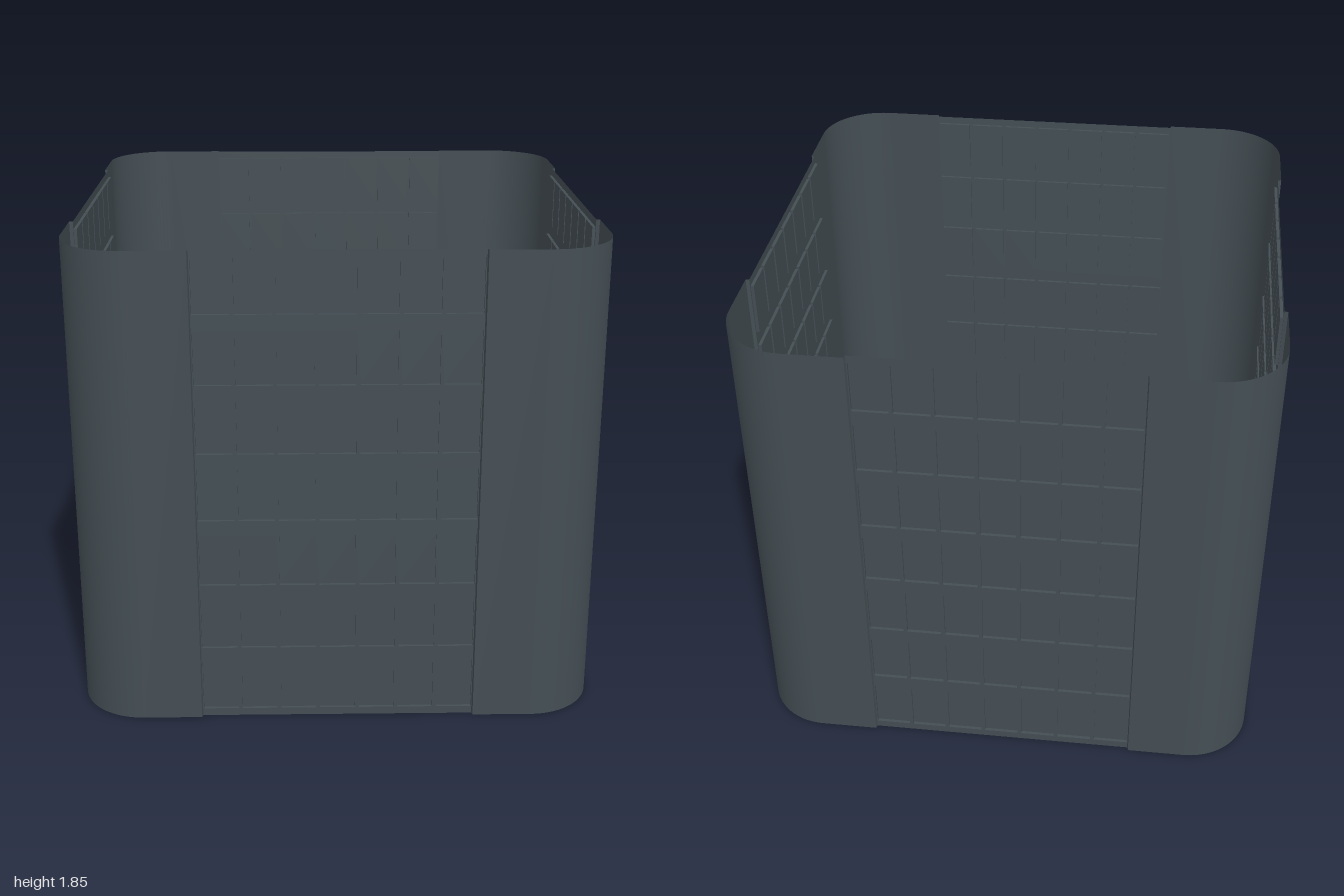
import * as THREE from 'three';
import { mergeGeometries } from 'three/addons/utils/BufferGeometryUtils.js';

const H = 1.85;          // height
const HALF = 0.525;      // half width of a lattice panel
const R = 0.25;          // corner radius
const GRID_Z = 0.986;    // lattice sheet
const CELL_Z = 0.974;    // floor of the pressed-in cells
const N = 7;             // cells per row and rows per panel
const RIB = 0.015, BAR = 0.06;

// Upright quad from (x0, z0) to (x1, z1), between heights y0 and y1
function strip(x0, z0, x1, z1, y0, y1) {
  const g = new THREE.PlaneGeometry(Math.hypot(x1 - x0, z1 - z0), y1 - y0);
  g.rotateY(Math.atan2(z0 - z1, x1 - x0));
  return g.translate((x0 + x1) / 2, (y0 + y1) / 2, (z0 + z1) / 2);
}

// Level quad between the lattice sheet and a cell floor, facing up or down
function ledge(x0, x1, y, up) {
  const g = new THREE.PlaneGeometry(x1 - x0, GRID_Z - CELL_Z);
  g.rotateX(up ? -Math.PI / 2 : Math.PI / 2);
  return g.translate((x0 + x1) / 2, y, (GRID_Z + CELL_Z) / 2);
}

// Rounded corner: quarter cylinder, two flat wings and a small lip on each wing
function cornerGeometry() {
  const arc = new THREE.CylinderGeometry(R, R, H, 24, 1, true, 0, Math.PI / 2);
  arc.translate(1 - R, H / 2, 1 - R);
  const lip = HALF - 0.004;
  return mergeGeometries([
    arc,
    strip(HALF, 1, 1 - R, 1, 0, H),
    strip(1, 1 - R, 1, HALF, 0, H),
    strip(lip, GRID_Z, HALF, 1, 0, H),
    strip(1, HALF, GRID_Z, lip, 0, H),
  ]);
}

// Lattice sheet with holes, and the pressed-in cells that close them
function panelGeometries() {
  const sheet = new THREE.Shape([
    new THREE.Vector2(-HALF, 0), new THREE.Vector2(HALF, 0),
    new THREE.Vector2(HALF, H), new THREE.Vector2(-HALF, H),
  ]);
  const cells = [];
  const px = 2 * HALF / N, py = H / N;
  for (let i = 0; i < N; i++) {
    for (let j = 0; j < N; j++) {
      const x0 = -HALF + i * px + RIB / 2, x1 = x0 + px - RIB;
      const y0 = j * py + BAR / 2, y1 = y0 + py - BAR;
      sheet.holes.push(new THREE.Path([
        new THREE.Vector2(x0, y0), new THREE.Vector2(x0, y1),
        new THREE.Vector2(x1, y1), new THREE.Vector2(x1, y0),
      ]));
      cells.push(
        strip(x0, CELL_Z, x1, CELL_Z, y0, y1),
        strip(x0, GRID_Z, x0, CELL_Z, y0, y1),
        strip(x1, CELL_Z, x1, GRID_Z, y0, y1),
        ledge(x0, x1, y0, true),
        ledge(x0, x1, y1, false),
      );
    }
  }
  const lattice = new THREE.ShapeGeometry(sheet).translate(0, 0, GRID_Z);
  return { lattice, cells: mergeGeometries(cells) };
}

export function createModel() {
  const model = new THREE.Group();
  model.name = 'crate';
  const plastic = new THREE.MeshStandardMaterial({ color: 0x444e54, side: THREE.DoubleSide });
  plastic.name = 'slate grey';

  const corner = cornerGeometry();
  const { lattice, cells } = panelGeometries();

  // Four identical sides, each with a lattice panel and one corner
  ['front', 'left', 'back', 'right'].forEach((side, k) => {
    const group = new THREE.Group();
    group.name = side + 'Side';
    for (const [name, geometry] of [['Lattice', lattice], ['Cells', cells], ['Corner', corner]]) {
      const mesh = new THREE.Mesh(geometry, plastic);
      mesh.name = side + name;
      group.add(mesh);
    }
    group.rotation.y = k * Math.PI / 2;
    model.add(group);
  });
  return model;
}
